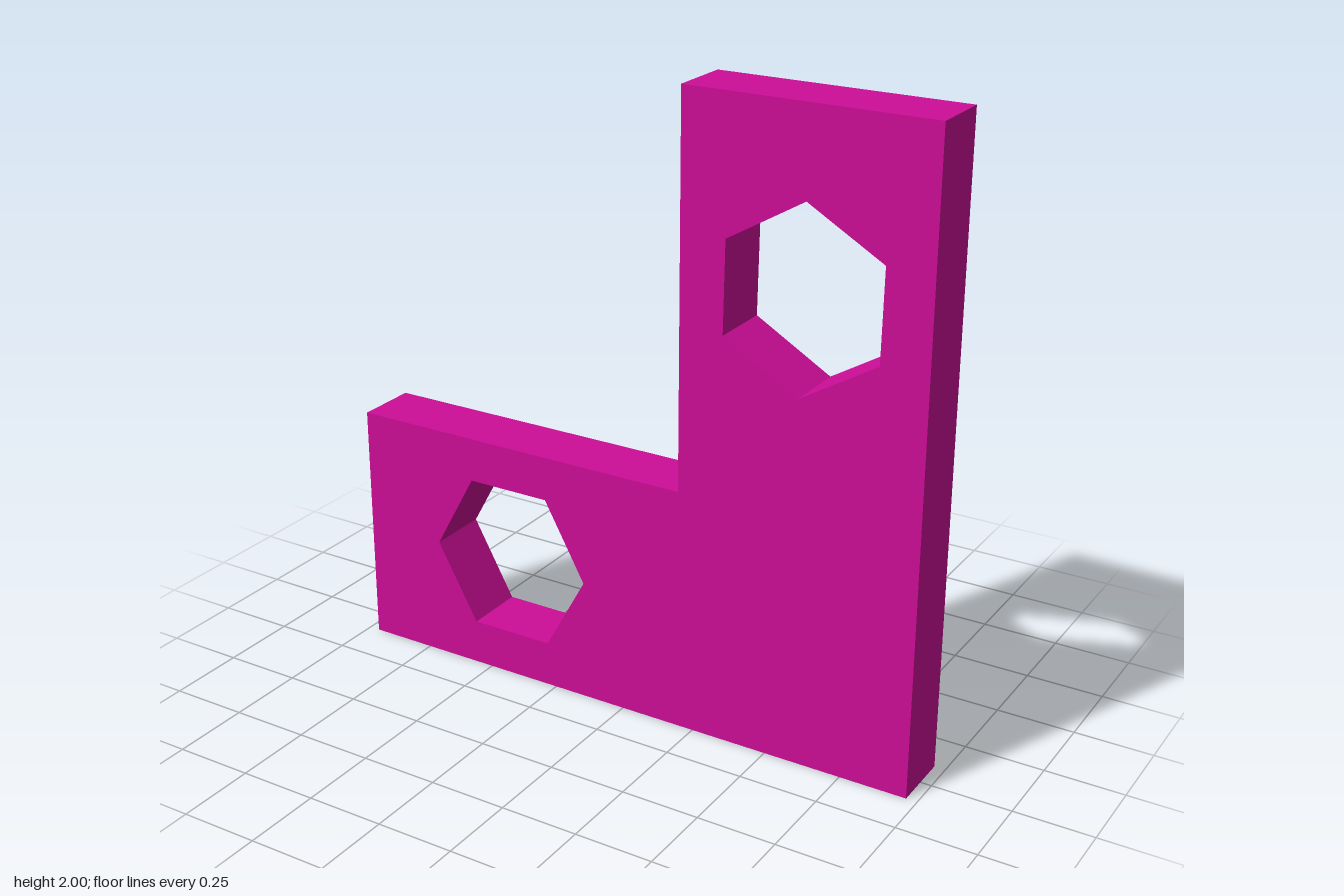
import * as THREE from 'three';

const DEPTH = 0.2;
const points = (list) => list.map(([x, y]) => new THREE.Vector2(x, y));

export function createModel() {
  const model = new THREE.Group();
  model.name = 'cornerBracket';

  const magenta = new THREE.MeshStandardMaterial({ color: 0xcc0d97 });
  magenta.name = 'magenta';
  magenta.flatShading = true;

  // L-shaped outline: wide foot with an upright arm on its left end
  const outline = new THREE.Shape(points([
    [-0.965, 0], [0.965, 0], [0.965, 2], [0.193, 2], [0.193, 0.787], [-0.965, 0.787],
  ]));

  // Hexagonal hole in the foot, flat side up
  outline.holes.push(new THREE.Path(points([
    [-0.695, 0.395], [-0.557, 0.645], [-0.28, 0.645],
    [-0.142, 0.395], [-0.28, 0.146], [-0.557, 0.146],
  ])));

  // Hexagonal hole in the arm, corner up and turned very slightly
  outline.holes.push(new THREE.Path(points([
    [0.582, 1.73], [0.821, 1.592], [0.817, 1.307],
    [0.575, 1.162], [0.334, 1.302], [0.338, 1.586],
  ])));

  // Flat plate centred on z = 0
  const geometry = new THREE.ExtrudeGeometry(outline, { depth: DEPTH, bevelEnabled: false });
  geometry.translate(0, 0, -DEPTH / 2);
  const plate = new THREE.Mesh(geometry, magenta);
  plate.name = 'bracketPlate';
  model.add(plate);

  return model;
}
